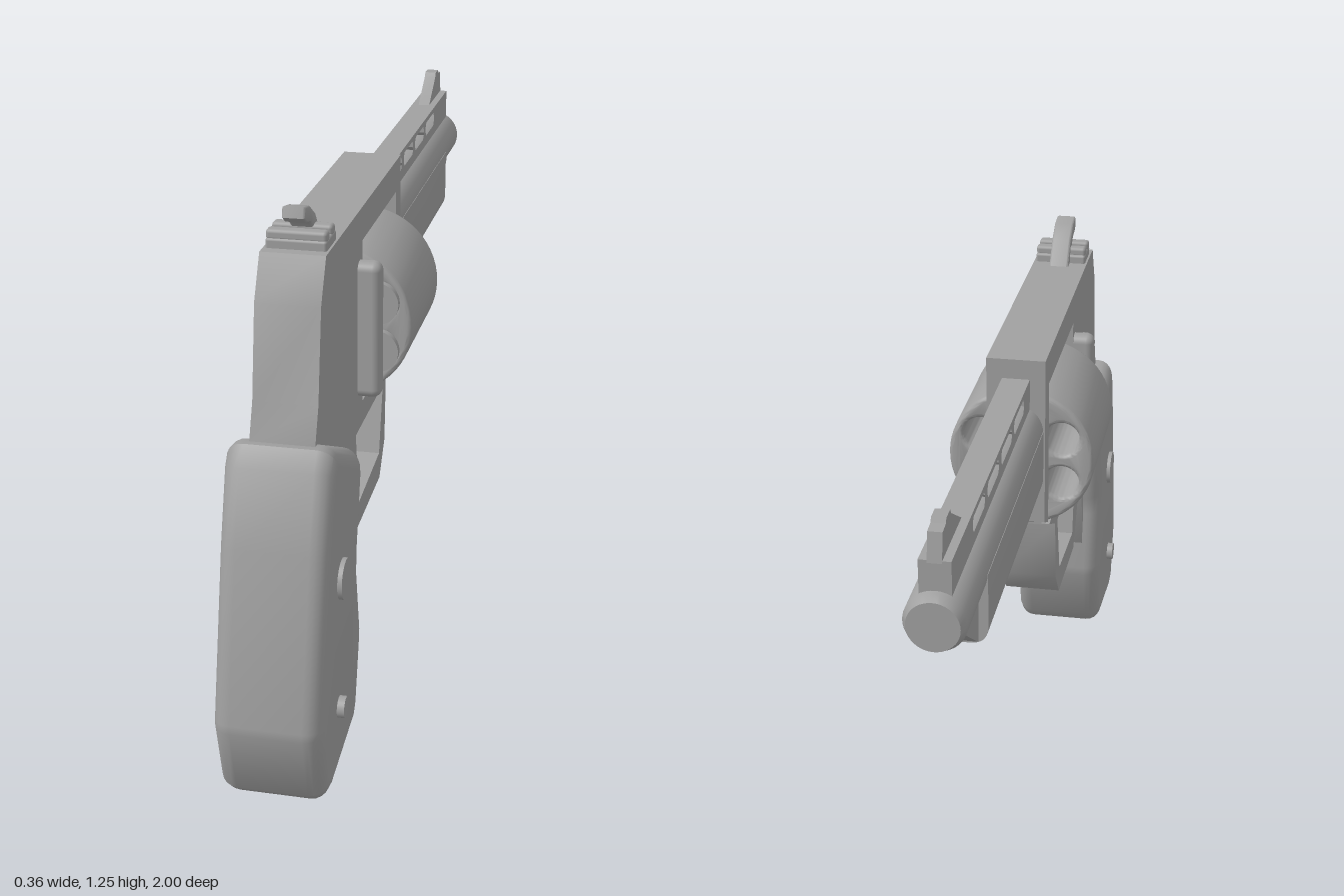
import * as THREE from 'three';
import { toCreasedNormals } from 'three/addons/utils/BufferGeometryUtils.js';
import { RoundedBoxGeometry } from 'three/addons/geometries/RoundedBoxGeometry.js';

export function createModel() {
  const model = new THREE.Group();
  const steel = new THREE.MeshStandardMaterial({ color: 0xa0a0a0 });

  const add = (name, geometry, x = 0, y = 0, z = 0) => {
    const mesh = new THREE.Mesh(geometry, steel);
    mesh.name = name;
    mesh.position.set(x, y, z);
    model.add(mesh);
    return mesh;
  };

  // Profiles are lists of [z, y]; they are extruded sideways, centred on x = 0
  const toPoints = (list) => list.map(([z, y]) => new THREE.Vector2(-z, y));
  const slab = (profile, width, bevel = 0, holes = []) => {
    const shape = new THREE.Shape(toPoints(profile));
    holes.forEach((h) => shape.holes.push(new THREE.Path(toPoints(h))));
    const depth = width - 2 * bevel;
    const geo = new THREE.ExtrudeGeometry(shape, {
      depth, bevelEnabled: bevel > 0, bevelThickness: bevel, bevelSize: bevel,
      bevelOffset: -bevel, bevelSegments: 5,
    });
    geo.translate(0, 0, -depth / 2);
    geo.rotateY(Math.PI / 2);
    return toCreasedNormals(geo, 0.6);
  };
  const rodX = (r, length) => new THREE.CylinderGeometry(r, r, length, 28).rotateZ(Math.PI / 2);
  const rodZ = (r, length) => new THREE.CylinderGeometry(r, r, length, 40).rotateX(Math.PI / 2);

  // Frame with the open cylinder window and the trigger guard
  add('frame', slab([
    [0.706, 1.163], [-0.085, 1.163], [-0.085, 0.743], [-0.03, 0.717], [-0.03, 1.086],
    [0.358, 1.086], [0.358, 0.70], [-0.01, 0.70], [0.086, 0.652], [0.10, 0.49],
    [0.16, 0.414], [0.422, 0.402], [0.56, 0.62], [0.60, 0.28], [0.70, 0.15],
    [0.85, 0.2], [0.82, 0.78], [0.786, 0.866], [0.754, 1.07],
  ], 0.14, 0, [[[0.43, 0.644], [0.396, 0.46], [0.166, 0.481], [0.123, 0.644]]]));
  add('crane', new THREE.BoxGeometry(0.1, 0.045, 0.045), 0, 0.72, 0.012);

  // Trigger
  add('trigger', slab([
    [0.285, 0.66], [0.24, 0.66], [0.265, 0.57], [0.235, 0.497], [0.25, 0.487], [0.30, 0.565],
  ], 0.045, 0.006));

  // Cylinder with six chambers
  const cy = 0.876;
  const drum = new THREE.Shape().absarc(0, 0, 0.178, 0, Math.PI * 2);
  const chamberAt = (i) => {
    const a = Math.PI / 6 + (i * Math.PI) / 3;
    return [Math.cos(a) * 0.115, Math.sin(a) * 0.115];
  };
  for (let i = 0; i < 6; i++) {
    const [x, y] = chamberAt(i);
    drum.holes.push(new THREE.Path().absarc(x, y, 0.042, 0, Math.PI * 2, true));
  }
  const drumGeo = new THREE.ExtrudeGeometry(drum, {
    depth: 0.322, bevelThickness: 0.01, bevelSize: 0.01, bevelOffset: -0.01,
    bevelSegments: 3, curveSegments: 28,
  });
  add('cylinder', toCreasedNormals(drumGeo, 0.6), 0, cy, -0.005);
  for (let i = 0; i < 6; i++) {
    const [x, y] = chamberAt(i);
    add('chamberRim', rodZ(0.05, 0.018), x, cy + y, 0.335);
  }
  add('cylinderAxle', rodZ(0.035, 0.41), 0, cy, 0.165);
  add('recoilShield', new RoundedBoxGeometry(0.244, 0.321, 0.048, 4, 0.02), 0, 0.888, 0.385);

  // Cylinder latch on one side only
  add('latch', new RoundedBoxGeometry(0.03, 0.07, 0.13, 3, 0.01), -0.077, 0.955, 0.485);

  // Barrel
  const barrelProfile = [[0, 0], [0.065, 0], [0.065, 0.895], [0.055, 0.915], [0, 0.915]]
    .map(([r, h]) => new THREE.Vector2(r, h));
  const barrelGeo = new THREE.LatheGeometry(barrelProfile, 40).rotateX(-Math.PI / 2);
  add('barrel', toCreasedNormals(barrelGeo, 0.5), 0, 0.984, -0.085);

  // Ventilated rib with four rounded slots
  const slots = [];
  for (let i = 0; i < 4; i++) {
    const z0 = -0.165 - i * 0.157, z1 = z0 - 0.128;
    slots.push([
      [z0 - 0.01, 1.066], [z0, 1.076], [z0, 1.092], [z0 - 0.01, 1.102],
      [z1 + 0.01, 1.102], [z1, 1.092], [z1, 1.076], [z1 + 0.01, 1.066],
    ]);
  }
  add('rib', slab([[-0.08, 1.03], [-0.08, 1.115], [-0.97, 1.115], [-0.97, 1.03]], 0.066, 0, slots));

  // Full-length lug under the barrel, with a sloped nose
  const lug = new THREE.Shape();
  lug.moveTo(-0.066, 0.985);
  lug.lineTo(-0.066, 0.865);
  lug.quadraticCurveTo(-0.066, 0.82, -0.025, 0.82);
  lug.lineTo(0.025, 0.82);
  lug.quadraticCurveTo(0.066, 0.82, 0.066, 0.865);
  lug.lineTo(0.066, 0.985);
  const lugGeo = new THREE.ExtrudeGeometry(lug, { depth: 0.7, bevelEnabled: false });
  add('underLug', toCreasedNormals(lugGeo, 0.6), 0, 0, -0.78);
  add('lugNose', slab([[-0.77, 0.825], [-0.79, 0.83], [-0.92, 0.925], [-0.92, 0.96], [-0.77, 0.96]], 0.09));

  // Sights
  add('frontSight', slab([
    [-0.78, 1.11], [-0.88, 1.172], [-0.89, 1.185], [-0.925, 1.185], [-0.93, 1.175],
    [-0.96, 1.172], [-0.972, 1.11],
  ], 0.03));
  add('rearSightBase', new RoundedBoxGeometry(0.13, 0.028, 0.09, 2, 0.006), 0, 1.17, 0.635);
  for (const z of [0.612, 0.662]) {
    add('rearSightBar', new RoundedBoxGeometry(0.13, 0.024, 0.03, 2, 0.008), 0, 1.19, z);
  }

  // Hammer
  add('hammer', slab([
    [0.55, 1.15], [0.605, 1.222], [0.65, 1.25], [0.69, 1.258], [0.697, 1.235],
    [0.68, 1.222], [0.645, 1.213], [0.625, 1.195], [0.61, 1.15],
  ], 0.05, 0.006));

  // Grip with round inlays and screws on both sides
  add('grip', slab([
    [0.835, 0.79], [0.80, 0.787], [0.60, 0.692], [0.575, 0.67], [0.565, 0.63], [0.608, 0.46],
    [0.612, 0.41], [0.58, 0.25], [0.583, 0.225], [0.625, 0.07], [0.655, 0.036],
    [0.89, 0.003], [0.93, 0.01], [0.957, 0.035], [1.0, 0.195], [1.0, 0.215],
    [0.914, 0.588], [0.865, 0.75],
  ], 0.236, 0.04));
  for (const side of [-1, 1]) {
    add('gripInlay', rodX(0.045, 0.03), side * 0.113, 0.476, 0.79);
    add('gripScrew', rodX(0.024, 0.04), side * 0.114, 0.18, 0.823);
  }
  return model;
}
